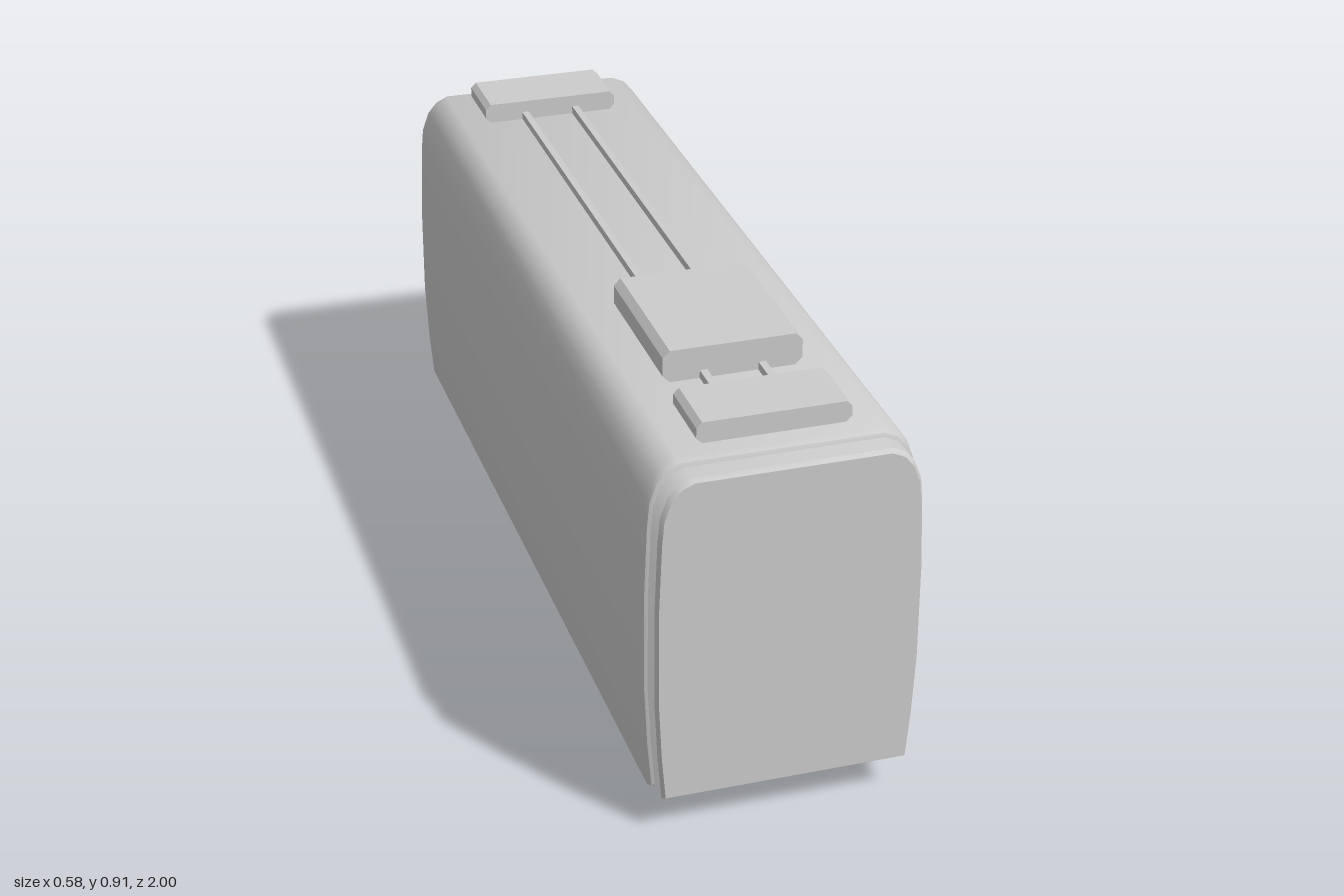
import * as THREE from 'three';
import { toCreasedNormals } from 'three/addons/utils/BufferGeometryUtils.js';

const grey = new THREE.MeshStandardMaterial({ color: 0xcccccc });
grey.name = 'light grey';

// right half of the carriage section, bottom to top
const half = [[0.274, 0.075], [0.283, 0.18], [0.29, 0.32], [0.29, 0.54], [0.284, 0.7],
  [0.279, 0.755], [0.264, 0.797], [0.243, 0.822], [0.215, 0.835]];
const section = [...half, ...half.slice().reverse().map(([x, y]) => [-x, y])];

// lofts the section through [z, inset] stations and caps both ends
function loft(stations) {
  const pos = [], idx = [], n = section.length, mid = 0.455;
  for (const [z, inset] of stations) {
    for (const [x, y] of section) {
      pos.push(x * (1 - inset / 0.29), mid + (y - mid) * (1 - inset / 0.38), z);
    }
  }
  for (let s = 0; s < stations.length - 1; s++) {
    for (let i = 0; i < n; i++) {
      const a = s * n + i, b = s * n + (i + 1) % n;
      idx.push(a, b, b + n, a, b + n, a + n);
    }
  }
  const last = (stations.length - 1) * n;
  for (let i = 1; i < n - 1; i++) {
    idx.push(0, i + 1, i, last, last + i, last + i + 1);
  }
  const g = new THREE.BufferGeometry();
  g.setAttribute('position', new THREE.Float32BufferAttribute(pos, 3));
  g.setIndex(idx);
  return toCreasedNormals(g, 0.6);
}

// roof box with chamfered long edges, running along z
function chamferBlock(w, h, c, length) {
  const s = new THREE.Shape([[-w + c, 0], [w - c, 0], [w, c], [w, h - c], [w - c, h],
    [-w + c, h], [-w, h - c], [-w, c]].map(([x, y]) => new THREE.Vector2(x, y)));
  return new THREE.ExtrudeGeometry(s, { depth: length, bevelEnabled: false });
}

export function createModel() {
  const model = new THREE.Group();
  model.name = 'carriage';
  const add = (name, geometry, x = 0, y = 0, z = 0) => {
    const m = new THREE.Mesh(geometry, grey);
    m.name = name;
    m.position.set(x, y, z);
    model.add(m);
    return m;
  };

  add('body', loft([[-1, 0.012], [-0.995, 0.005], [-0.98, 0], [0.92, 0], [0.935, 0.005], [0.94, 0.014]]));

  // folded gangway at the front
  const folds = [[0.935, 0.02]];
  for (let i = 0; i < 4; i++) {
    folds.push([0.944 + i * 0.015, 0.01], [0.9515 + i * 0.015, 0.02]);
  }
  folds[folds.length - 1] = [1, 0.016];
  add('gangway', loft(folds));

  // roof equipment
  add('frontRoofBox', chamferBlock(0.162, 0.046, 0.012, 0.15), 0, 0.835, 0.73);
  add('rearRoofBox', chamferBlock(0.162, 0.046, 0.012, 0.15), 0, 0.835, -0.94);
  add('mainRoofBox', chamferBlock(0.15, 0.071, 0.015, 0.35), 0, 0.835, 0.27);
  for (const side of [-1, 1]) {
    add('roofPipe', new THREE.BoxGeometry(0.016, 0.02, 1.56), side * 0.063, 0.843, -0.03);
  }

  // wheels and axles
  const profile = [[0, -0.015], [0.06, -0.015], [0.077, -0.012], [0.077, -0.006], [0.068, 0.0], [0.066, 0.015], [0, 0.015]]
    .map(([r, y]) => new THREE.Vector2(r, y));
  const wheel = toCreasedNormals(new THREE.LatheGeometry(profile, 28), 0.6);
  for (const z of [0.2, -0.255]) {
    const axle = add('axle', new THREE.CylinderGeometry(0.008, 0.008, 0.37, 10), 0, 0.073, z);
    axle.rotation.z = Math.PI / 2;
    for (const side of [-1, 1]) {
      add('wheel', wheel, side * 0.19, 0.077, z).rotation.z = -side * Math.PI / 2;
      add('axleBox', new THREE.BoxGeometry(0.022, 0.012, 0.03), side * 0.214, 0.076, z);
    }
  }
  return model;
}
